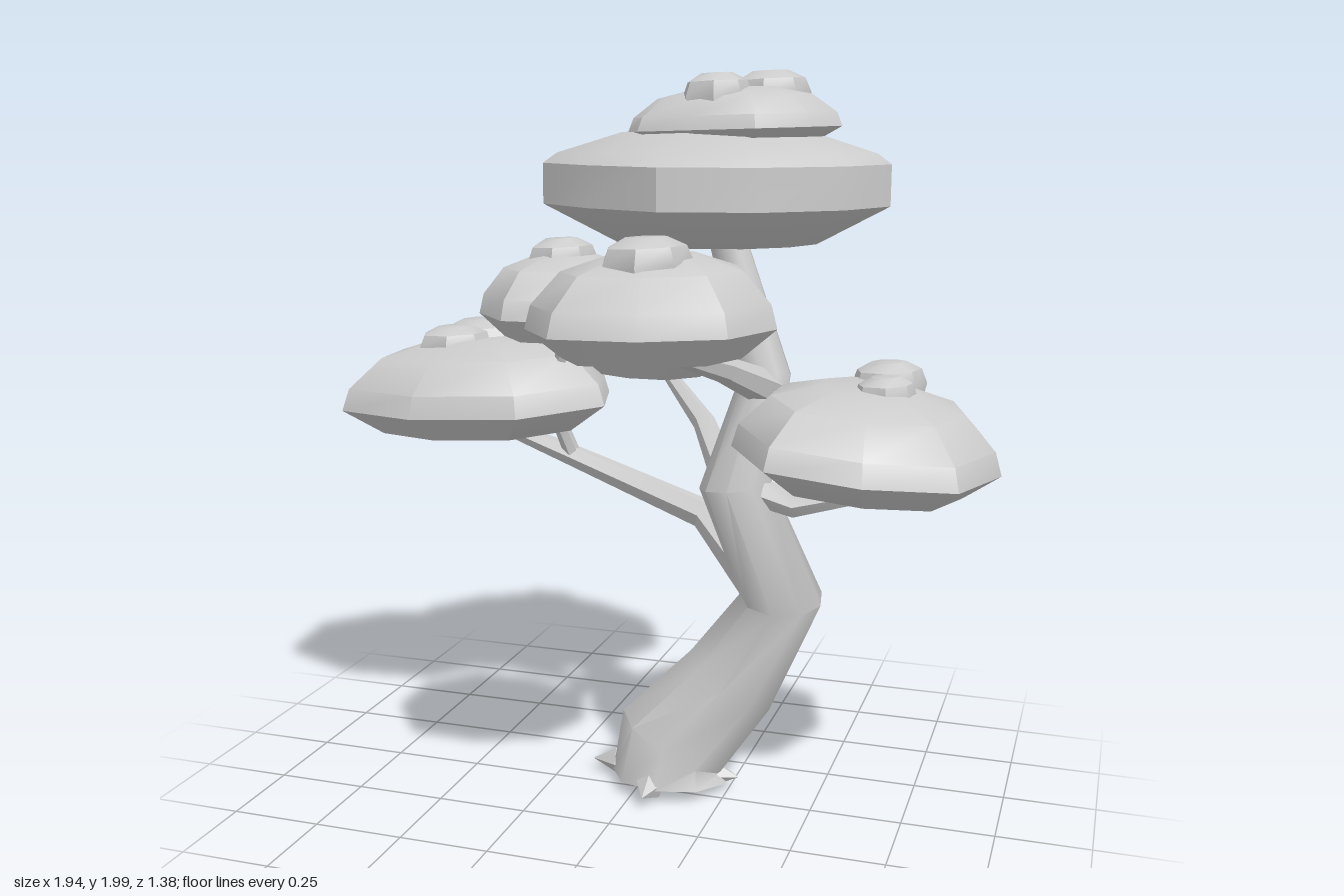
import * as THREE from 'three';
import { toCreasedNormals } from 'three/addons/utils/BufferGeometryUtils.js';

const V = (x, y, z) => new THREE.Vector3(x, y, z);

// Skin a list of equal-length rings, closing both ends with a fan.
function loft(rings, crease) {
  const n = rings[0].length, pos = [], idx = [];
  const centre = (r) => r.reduce((s, p) => s.add(p), V(0, 0, 0)).divideScalar(n);
  const all = [...rings.flat(), centre(rings[0]), centre(rings.at(-1))];
  all.forEach((p) => pos.push(p.x, p.y, p.z));
  const low = all.length - 2, high = all.length - 1, last = (rings.length - 1) * n;
  for (let i = 0; i < n; i++) {
    const j = (i + 1) % n;
    for (let k = 0; k < last; k += n) {
      idx.push(k + i, k + j, k + n + j, k + i, k + n + j, k + n + i);
    }
    idx.push(low, j, i, high, last + i, last + j);
  }
  const g = new THREE.BufferGeometry();
  g.setAttribute('position', new THREE.Float32BufferAttribute(pos, 3));
  g.setIndex(idx);
  return toCreasedNormals(g, crease);
}

// Bent, tapering limb through [x, y, z, radius] stations.
function limb(stations, sides, crease) {
  const c = stations.map((s) => V(s[0], s[1], s[2]));
  const rings = c.map((p, i) => {
    const t = c[Math.min(i + 1, c.length - 1)].clone().sub(c[Math.max(i - 1, 0)]).normalize();
    const u = V(0, 0, 1).addScaledVector(t, -t.z).normalize();
    const w = t.clone().cross(u);
    return Array.from({ length: sides }, (_, k) => {
      const a = (k / sides) * Math.PI * 2, r = stations[i][3];
      return p.clone().addScaledVector(u, r * Math.cos(a)).addScaledVector(w, r * Math.sin(a));
    });
  });
  return loft(rings, crease);
}

// Uneven polygon fitted to the box -1..1 in x and z.
function outline(sides, phase) {
  const pts = Array.from({ length: sides }, (_, k) => {
    const a = phase + (k / sides) * Math.PI * 2, r = 1 + 0.05 * Math.sin(k * 2.4 + phase * 9);
    return [r * Math.cos(a), -r * Math.sin(a)];
  });
  const [xs, zs] = [0, 1].map((i) => pts.map((p) => p[i]));
  const fit = (v, list) => {
    const lo = Math.min(...list), hi = Math.max(...list);
    return (2 * (v - lo)) / (hi - lo) - 1;
  };
  return pts.map(([x, z]) => [fit(x, xs), fit(z, zs)]);
}

// Profiles of [scale, fraction of height].
const domeProfile = [[0.4, 0], [0.72, 0.03], [1, 0.31], [0.95, 0.54], [0.72, 0.85], [0.35, 1]];
const crownProfile = [[0.3, 0], [0.58, 0.03], [1, 0.37], [1, 0.73], [0.92, 0.82], [0.55, 1]];
const tuftProfile = [[0.85, 0], [1, 0.5], [0.85, 0.82], [0.45, 1]];

// Cushion of leaves: profile swept over an uneven outline, optionally tilted along x.
function cushion({ x, z, rx, rz, bottom, top, sides, phase, slope = 0, profile = domeProfile }) {
  const edge = outline(sides, phase);
  return loft(profile.map(([s, f]) => edge.map(([u, w]) =>
    V(x + u * rx * s, bottom + f * (top - bottom) + slope * u * rx * s, z + w * rz * s))), 0.6);
}

export function createModel() {
  const tree = new THREE.Group();
  tree.name = 'tree';
  const material = new THREE.MeshStandardMaterial({ color: 0xcccccc });
  const add = (name, geometry, parent = tree) => {
    const mesh = new THREE.Mesh(geometry, material);
    mesh.name = name;
    parent.add(mesh);
  };

  // Leaning trunk with a double bend
  add('trunk', limb([[0.08, 0.02, -0.07, 0.17], [0.08, 0.12, -0.08, 0.165], [0.24, 0.31, -0.13, 0.14],
    [0.39, 0.58, -0.08, 0.115], [0.275, 0.9, -0.01, 0.1], [0.33, 1.19, -0.1, 0.07], [0.22, 1.56, -0.09, 0.05]], 9, 0.9));

  // Pointed roots around the base
  for (let i = 0; i < 4; i++) {
    const a = (i * Math.PI) / 2;
    const at = (r, y) => [0.06 + r * Math.cos(a), y, -0.07 + r * Math.sin(a)];
    add('root', limb([[...at(0.08, 0.05), 0.03], [...at(0.14, 0.04), 0.042], [...at(0.215, 0.035), 0.002]], 5, 0.3));
  }

  // Branches
  const branch = (name, ...stations) => add(name, limb(stations, 6, 0.5));
  branch('rightBranch', [0.33, 0.59, -0.1, 0.06], [0.12, 0.75, -0.25, 0.045], [-0.3, 0.89, -0.28, 0.032], [-0.58, 0.99, -0.27, 0.02]);
  branch('rightBranchSpur', [-0.29, 0.88, -0.28, 0.025], [-0.33, 1.02, -0.24, 0.022], [-0.27, 1.28, -0.15, 0.018]);
  branch('leftBranch', [0.28, 0.91, 0, 0.045], [0.44, 0.865, 0.01, 0.035], [0.62, 0.91, 0.01, 0.026], [0.72, 0.97, 0.01, 0.02]);
  branch('backBranch', [0.26, 0.86, -0.04, 0.045], [0.12, 1.02, -0.24, 0.032], [-0.08, 1.14, -0.48, 0.018]);
  branch('frontBranch', [0.34, 1.16, -0.07, 0.05], [0.27, 1.24, 0.13, 0.035], [0.18, 1.33, 0.44, 0.018]);

  // Foliage pads, each topped with small tufts given as [x, z, radius]
  const foliage = (name, shape, ...tufts) => {
    const group = new THREE.Group();
    group.name = name;
    add('pad', cushion(shape), group);
    tufts.forEach(([x, z, r], i) => add('tuft', cushion({
      x, z, rx: r, rz: r * 0.9, bottom: shape.top - 0.08, top: shape.top + 0.045 - i * 0.01,
      sides: 7, phase: i + 0.3, slope: 0.05, profile: tuftProfile,
    }), group));
    tree.add(group);
  };
  foliage('crownFoliage', { x: 0.185, z: -0.14, rx: 0.455, rz: 0.4, bottom: 1.53, top: 1.83, sides: 11, phase: 0.05, profile: crownProfile },
    [0.17, -0.38, 0.15]);
  foliage('crownCap', { x: 0.225, z: -0.125, rx: 0.285, rz: 0.225, bottom: 1.79, top: 1.945, sides: 10, phase: 0.1, slope: 0.03 },
    [0.29, -0.24, 0.11], [0.2, -0.03, 0.09]);
  foliage('rightFoliage', { x: -0.565, z: -0.275, rx: 0.405, rz: 0.335, bottom: 0.955, top: 1.23, sides: 8, phase: 0.56, slope: 0.05 },
    [-0.61, -0.34, 0.13], [-0.65, -0.23, 0.11]);
  foliage('leftFoliage', { x: 0.63, z: 0.005, rx: 0.34, rz: 0.355, bottom: 0.93, top: 1.19, sides: 9, phase: 0, slope: -0.09 },
    [0.65, -0.15, 0.1], [0.67, 0.03, 0.08]);
  foliage('frontFoliage', { x: 0.18, z: 0.425, rx: 0.3, rz: 0.265, bottom: 1.305, top: 1.555, sides: 9, phase: 0, slope: 0.02 },
    [0.18, 0.5, 0.11], [0.16, 0.41, 0.09]);
  foliage('middleFoliage', { x: -0.25, z: -0.135, rx: 0.23, rz: 0.235, bottom: 1.26, top: 1.495, sides: 8, phase: 0.35 },
    [-0.27, -0.13, 0.1]);
  foliage('backFoliage', { x: -0.1, z: -0.475, rx: 0.23, rz: 0.215, bottom: 1.115, top: 1.315, sides: 9, phase: 0.3 },
    [-0.11, -0.6, 0.085]);
  return tree;
}
